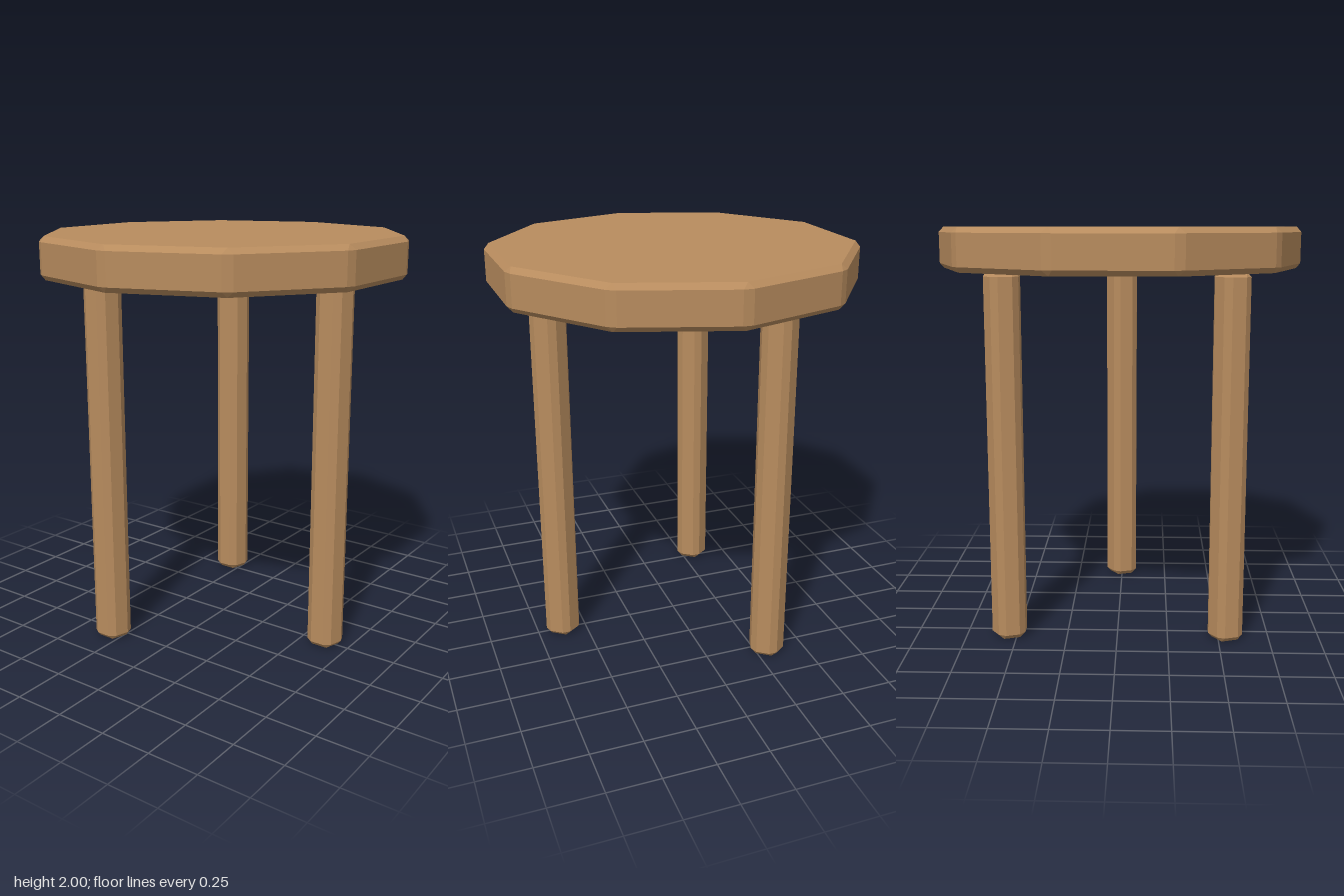
import * as THREE from 'three';
import { ConvexGeometry } from 'three/addons/geometries/ConvexGeometry.js';

const BEVEL = 0.025;

// Upright prism with a corner at -z and every edge chamfered by the bevel width.
function beveledPrism(sides, radius, y0, y1) {
  const step = (Math.PI * 2) / sides;
  const corner = (i, r) => new THREE.Vector2(Math.sin(i * step) * r, -Math.cos(i * step) * r);
  const innerRadius = radius - BEVEL / Math.cos(step / 2);
  const points = [];
  for (let i = 0; i < sides; i++) {
    // inset corners of the two caps
    const cap = corner(i, innerRadius);
    points.push(new THREE.Vector3(cap.x, y0, cap.y), new THREE.Vector3(cap.x, y1, cap.y));
    // side panel, inset on all four edges
    const a = corner(i, radius);
    const b = corner(i + 1, radius);
    const t = BEVEL / a.distanceTo(b);
    for (const p of [a.clone().lerp(b, t), b.clone().lerp(a, t)]) {
      points.push(new THREE.Vector3(p.x, y0 + BEVEL, p.y), new THREE.Vector3(p.x, y1 - BEVEL, p.y));
    }
  }
  return new ConvexGeometry(points);
}

export function createModel() {
  const stool = new THREE.Group();
  stool.name = 'stool';
  const wood = new THREE.MeshStandardMaterial({ color: 0xb88c5e, flatShading: true });
  wood.name = 'wood';

  // Ten-sided seat
  const seat = new THREE.Mesh(beveledPrism(10, 0.893, 1.8, 2), wood);
  seat.name = 'seat';
  stool.add(seat);

  // Three five-sided legs, all facing the same way
  const legGeometry = beveledPrism(5, 0.1, 0, 1.8);
  ['leftLeg', 'frontRightLeg', 'backRightLeg'].forEach((name, i) => {
    const angle = (i * Math.PI * 2) / 3;
    const leg = new THREE.Mesh(legGeometry, wood);
    leg.name = name;
    leg.position.set(Math.cos(angle) * 0.62, 0, Math.sin(angle) * 0.62);
    stool.add(leg);
  });

  return stool;
}
